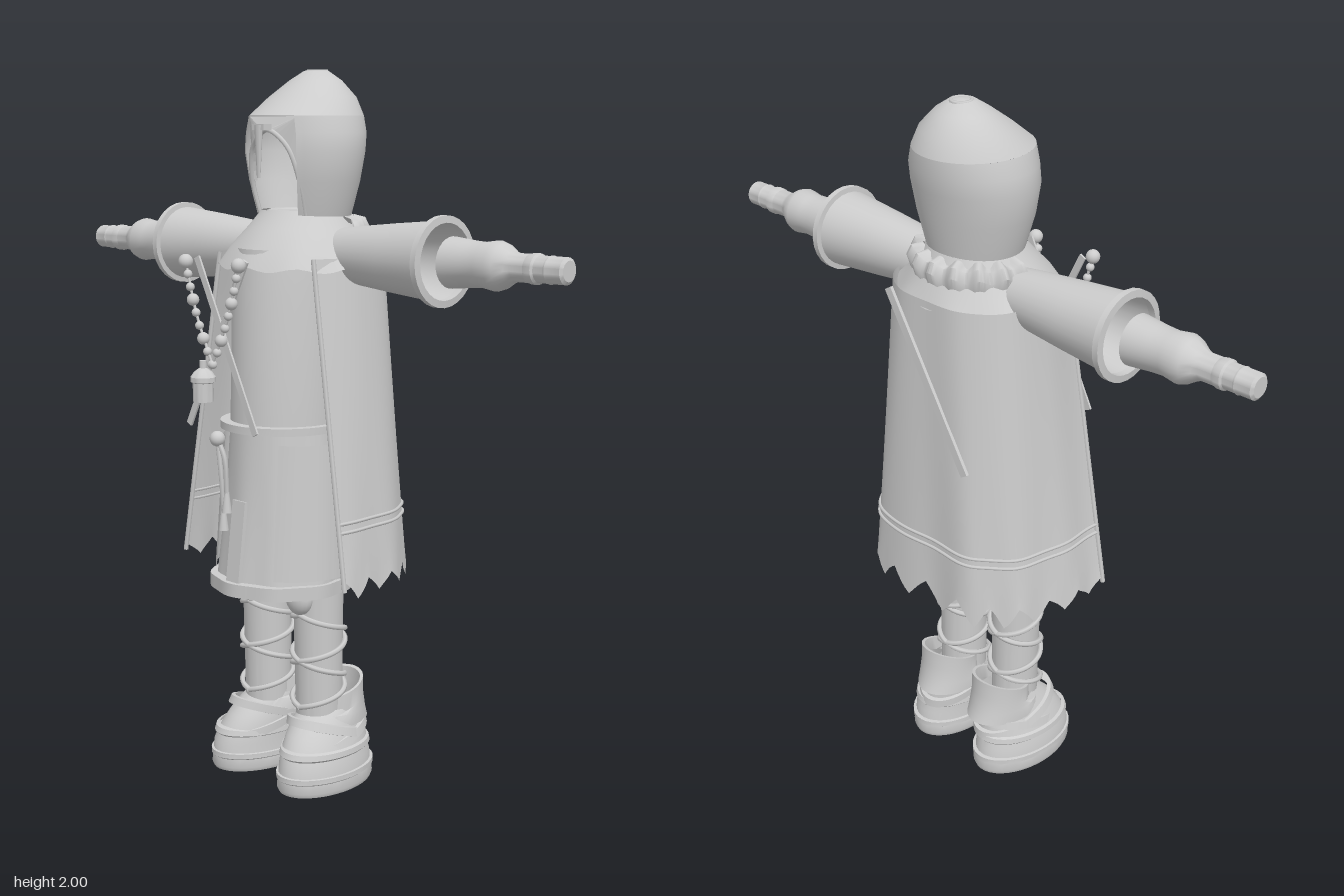
import * as THREE from 'three';
import { toCreasedNormals } from 'three/addons/utils/BufferGeometryUtils.js';

export function createModel() {
  const model = new THREE.Group();
  const grey = new THREE.MeshStandardMaterial({ color: 0xcccccc, side: THREE.DoubleSide });
  grey.name = 'plain grey';

  const add = (name, geometry, parent = model) => {
    const mesh = new THREE.Mesh(geometry, grey);
    mesh.name = name;
    parent.add(mesh);
    return mesh;
  };
  const group = (name, parent = model) => {
    const g = new THREE.Group();
    g.name = name;
    parent.add(g);
    return g;
  };
  // Stacked ellipses, listed top to bottom as [y, half width, front z, back z]
  const loft = (rings, { open = true, start = 0, sweep = Math.PI * 2, seg = 40, warp } = {}) => {
    const n = rings.length - 1;
    const geo = new THREE.CylinderGeometry(1, 1, 1, seg, n, open, start, sweep);
    const p = geo.attributes.position;
    for (let i = 0; i < p.count; i++) {
      const [y, w, f, b] = rings[Math.round((0.5 - p.getY(i)) * n)];
      const px = p.getX(i), pz = p.getZ(i);
      const v = new THREE.Vector3(px * w, y, (f + b) / 2 + pz * (f - b) / 2);
      if (warp) warp(v, Math.atan2(px, pz));
      p.setXYZ(i, v.x, v.y, v.z);
    }
    return toCreasedNormals(geo, 0.8);
  };
  const tube = (pts, r, seg = 40) => new THREE.TubeGeometry(
    new THREE.CatmullRomCurve3(pts.map(a => new THREE.Vector3(...a))), seg, r, 6);
  const lathe = (pts, seg = 28) => toCreasedNormals(
    new THREE.LatheGeometry(pts.map(a => new THREE.Vector2(...a)), seg), 0.6);
  // Flat bar between two points
  const bar = (name, a, b, w, t, parent = model) => {
    const A = new THREE.Vector3(...a), B = new THREE.Vector3(...b);
    const m = add(name, new THREE.BoxGeometry(w, A.distanceTo(B), t), parent);
    m.position.copy(A).add(B).multiplyScalar(0.5);
    m.quaternion.setFromUnitVectors(new THREE.Vector3(0, 1, 0), A.sub(B).normalize());
  };
  const ball = (name, r, x, y, z, parent) =>
    add(name, new THREE.SphereGeometry(r, 16, 10), parent).position.set(x, y, z);

  // Hood: closed crown above, face opening below
  const hood = group('hood');
  add('hoodCrown', loft([[2, 0.001, -0.139, -0.141], [1.996, 0.035, -0.105, -0.172], [1.97, 0.075, -0.065, -0.207],
    [1.925, 0.122, -0.003, -0.245], [1.875, 0.155, 0.06, -0.262]]), hood);
  add('hoodSides', loft([[1.875, 0.155, 0.06, -0.262], [1.83, 0.17, 0.062, -0.262], [1.78, 0.175, 0.062, -0.252],
    [1.7, 0.162, 0.05, -0.238], [1.6, 0.133, 0.025, -0.217]], { start: 0.6, sweep: Math.PI * 2 - 1.2 }), hood);
  const topRing = add('hoodTopRing', new THREE.TorusGeometry(0.026, 0.006, 6, 20), hood);
  topRing.rotation.x = Math.PI / 2;
  topRing.position.set(0, 1.994, -0.143);

  // Arched face frame, bent to follow the hood
  const frame = new THREE.Shape([[-0.1, 1.7], [-0.094, 1.873], [0.094, 1.873], [0.1, 1.7], [0.085, 1.7]]
    .map(a => new THREE.Vector2(...a)));
  for (let i = 1; i <= 16; i++) {
    const a = i / 16 * Math.PI;
    frame.lineTo(0.085 * Math.cos(a), 1.7 + 0.135 * Math.sin(a));
  }
  const frameGeo = new THREE.ExtrudeGeometry(frame, { depth: 0.012, bevelEnabled: false });
  const fp = frameGeo.attributes.position;
  for (let i = 0; i < fp.count; i++)
    fp.setZ(i, fp.getZ(i) + 0.034 - 2.5 * fp.getX(i) ** 2 - Math.max(0, 1.78 - fp.getY(i)) * 0.15);
  frameGeo.computeVertexNormals();
  add('faceFrame', frameGeo, hood);
  add('faceArch', tube([[-0.09, 1.61, -0.01], [-0.093, 1.7, 0.015], [-0.066, 1.795, 0.038], [0, 1.838, 0.05],
    [0.066, 1.795, 0.038], [0.093, 1.7, 0.015], [0.09, 1.61, -0.01]], 0.007), hood);
  const spike = add('browSpike', new THREE.CylinderGeometry(0.014, 0.006, 0.14, 8), hood);
  spike.scale.z = 0.65;
  spike.position.set(0, 1.78, 0.079);
  const brow = add('browPlate', new THREE.BoxGeometry(0.045, 0.016, 0.03), hood);
  brow.position.set(0, 1.845, 0.067);

  // Mantle, neck ring and ruffled back
  add('mantle', loft([[1.62, 0.125, 0.02, -0.215], [1.575, 0.155, 0.06, -0.235], [1.525, 0.198, 0.105, -0.26],
    [1.468, 0.238, 0.137, -0.282]], {
    seg: 60,
    warp: (v, a) => { if (v.y < 1.5) v.y += 0.006 * Math.cos(a * 9) + (Math.cos(a) < 0 ? 0.015 : 0); },
  }));
  const neck = add('neckRing', new THREE.TorusGeometry(0.1, 0.012, 8, 32));
  neck.rotation.x = Math.PI / 2;
  neck.position.set(0, 1.61, -0.1);
  add('ruffle', loft([[1.6, 0.135, 0.02, -0.22], [1.592, 0.165, 0.05, -0.25], [1.565, 0.18, 0.07, -0.262],
    [1.535, 0.172, 0.07, -0.255]], {
    start: Math.PI * 0.5, sweep: Math.PI, seg: 72,
    warp: (v, a) => {
      const k = Math.cos(a * 16), s = 1 + 0.045 * k;
      v.set(v.x * s, v.y + 0.008 * k, -0.1 + (v.z + 0.1) * s);
    },
  }));

  // Tunic, belt and skirt
  add('tunic', loft([[1.52, 0.14, 0.115, -0.2], [1.4, 0.15, 0.13, -0.2], [1.03, 0.152, 0.135, -0.18]]));
  add('belt', loft([[1.043, 0.152, 0.135, -0.18], [1.043, 0.174, 0.165, -0.195], [1.022, 0.174, 0.165, -0.195],
    [1.022, 0.15, 0.135, -0.175]]));
  const fold = k => (v, a) => {
    const s = 1 + 0.025 * k * Math.cos(a * 9) * Math.max(0, 1.03 - v.y) / 0.43;
    v.x *= s; v.z *= s;
  };
  add('skirt', loft([[1.03, 0.15, 0.135, -0.175], [0.9, 0.162, 0.14, -0.182], [0.75, 0.175, 0.15, -0.188],
    [0.59, 0.186, 0.168, -0.195]], { seg: 90, warp: fold(1) }));
  add('skirtHem', loft([[0.605, 0.176, 0.16, -0.185], [0.605, 0.198, 0.193, -0.208], [0.568, 0.198, 0.193, -0.208],
    [0.568, 0.176, 0.16, -0.185]], { seg: 90, warp: fold(0.6) }));
  bar('skirtFlap', [-0.003, 0.83, 0.148], [-0.003, 0.6, 0.175], 0.05, 0.012);
  for (const s of [1, -1])
    add('sidePanel', loft([[0.995, 0.19, 0.135, -0.17], [0.62, 0.205, 0.168, -0.195]],
      { seg: 14, start: s > 0 ? 0.6 : -1.7, sweep: 1.1 }));

  // Cape: open section around the back, flaring down to a ragged hem
  const section = pts => new THREE.CatmullRomCurve3(
    [...pts, ...pts.slice(0, -1).reverse().map(([x, z]) => [-x, z])].map(([x, z]) => new THREE.Vector3(x, 0, z)));
  const capeTop = section([[0.185, 0.055], [0.22, -0.08], [0.2, -0.2], [0.11, -0.27], [0, -0.28]]);
  const capeLow = section([[0.325, 0.072], [0.315, -0.08], [0.275, -0.22], [0.18, -0.3], [0, -0.305]]);
  const capeAt = (u, t, out = 0) => {
    const p = capeTop.getPoint(u).lerp(capeLow.getPoint(u), t);
    const s = 1 + out + 0.014 * t * t * Math.sin(u * Math.PI * 14);
    return p.set(p.x * s, 1.5 - 0.88 * t, p.z * s);
  };
  const U = 96, V = 14;
  const capeGeo = new THREE.PlaneGeometry(1, 1, U, V);
  for (let i = 0; i < capeGeo.attributes.position.count; i++) {
    const col = i % (U + 1), t = Math.floor(i / (U + 1)) / V;
    const p = capeAt(col / U, t);
    if (t === 1) p.y += 0.028 * (Math.abs(col % 8 - 4) / 2 - 1) + 0.008 * Math.sin(col * 0.7);
    capeGeo.attributes.position.setXYZ(i, p.x, p.y, p.z);
  }
  capeGeo.computeVertexNormals();
  const cape = group('cape');
  add('capeCloth', capeGeo, cape);
  for (const t of [0.795, 0.822])
    add('capeTrim', tube(Array.from({ length: 41 }, (_, i) => capeAt(i / 40, t, 0.006).toArray()), 0.005, 100), cape);
  for (const u of [0, 1])
    add('capeEdge', tube([0, 0.25, 0.5, 0.75, 1].map(t => capeAt(u, t).toArray()), 0.007), cape);
  bar('backStrap', [0.13, 1.5, -0.287], [-0.15, 1.05, -0.297], 0.024, 0.009);

  // Crossed chest straps, beads, pendant and tassel
  const chest = group('chestOrnaments');
  for (const s of [1, -1]) {
    bar('chestStrap', [s * 0.1, 1.5, 0.217 + s * 0.003], [-s * 0.13, 1.04, 0.217 + s * 0.003], 0.02, 0.006, chest);
    for (let i = 0; i < 9; i++) {
      const k = i / 8;
      ball('bead', i === 0 ? 0.02 : i % 3 ? 0.012 : 0.017,
        s * (0.105 * (1 - k) + 0.012 * Math.sin(k * 3)), 1.49 - 0.27 * k, 0.25, chest);
    }
    add('beadCord', tube([[s * 0.105, 1.49, 0.25], [s * 0.064, 1.355, 0.25], [0, 1.22, 0.25]], 0.004, 12), chest);
  }
  const pendant = add('pendant', lathe([[0, 0], [0.028, 0], [0.028, 0.05], [0.034, 0.053], [0.034, 0.066],
    [0.024, 0.08], [0.01, 0.09], [0.01, 0.11], [0, 0.11]]), chest);
  pendant.position.set(0, 1.125, 0.283);
  ball('tasselBead', 0.021, 0.052, 1.03, 0.28, chest);
  for (const [x, y] of [[0.062, 0.78], [0.075, 0.83]]) {
    add('tasselCord', tube([[0.052, 1.03, 0.28], [x, y + 0.15, 0.276], [x, y + 0.05, 0.268]], 0.007, 12), chest);
    const tassel = add('tassel', new THREE.CylinderGeometry(0.006, 0.014, 0.06, 10), chest);
    tassel.position.set(x, y + 0.03, 0.268);
  }

  for (const s of [1, -1]) {
    // Wide sleeve, forearm and hand, laid out along the arm
    const arm = group(s > 0 ? 'leftArm' : 'rightArm');
    arm.position.set(0, 1.505, -0.093);
    arm.rotation.z = -s * Math.PI / 2;
    add('sleeve', lathe([[0.07, 0.14], [0.079, 0.22], [0.092, 0.35], [0.106, 0.51]]), arm);
    add('cuff', lathe([[0.1, 0.497], [0.119, 0.499], [0.119, 0.516], [0.1, 0.518], [0.1, 0.497]]), arm);
    add('forearm', lathe([[0, 0.54], [0.067, 0.54], [0.06, 0.61], [0.058, 0.65], [0.064, 0.69],
      [0.058, 0.71], [0.042, 0.735], [0.036, 0.75], [0.036, 0.8]]), arm);
    add('hand', lathe([[0.036, 0.79], [0.039, 0.8], [0.039, 0.815], [0.034, 0.82], [0.034, 0.85], [0.036, 0.855],
      [0.034, 0.86], [0.034, 0.9], [0.026, 0.906], [0, 0.906]]), arm);

    // Leg with spiral wraps and knee pad
    const leg = group(s > 0 ? 'leftLeg' : 'rightLeg');
    leg.position.x = s * 0.105;
    add('shin', loft([[0.72, 0.075, 0.025, -0.125], [0.5, 0.07, 0.02, -0.12], [0.2, 0.066, 0.012, -0.122]]), leg);
    const knee = add('kneePad', new THREE.SphereGeometry(0.05, 18, 12), leg);
    knee.scale.set(0.9, 1, 0.65);
    knee.position.set(-s * 0.005, 0.55, 0.02);
    for (const d of [1, -1]) {
      const wrap = [];
      for (let i = 0; i <= 40; i++) {
        const a = d * i / 40 * Math.PI * 4;
        wrap.push([Math.sin(a) * 0.074, 0.23 + i / 40 * 0.27, -0.052 + Math.cos(a) * 0.075]);
      }
      add('legWrap', tube(wrap, 0.008, 90), leg);
    }

    // Boot, slightly turned outward
    const boot = group(s > 0 ? 'leftBoot' : 'rightBoot');
    boot.position.x = s * 0.135;
    boot.rotation.y = s * 0.06;
    const lean = v => { v.x -= s * 0.17 * Math.max(0, v.y - 0.08); };
    add('bootUpper', loft([[0.22, 0.075, -0.01, -0.19], [0.19, 0.08, 0.03, -0.195], [0.155, 0.087, 0.065, -0.195],
      [0.12, 0.093, 0.09, -0.198], [0.08, 0.099, 0.108, -0.21], [0.04, 0.102, 0.113, -0.215]], { warp: lean }), boot);
    add('bootSole', loft([[0.056, 0.098, 0.108, -0.212], [0.054, 0.107, 0.118, -0.224], [0.04, 0.107, 0.118, -0.224],
      [0.036, 0.102, 0.113, -0.219], [0.012, 0.105, 0.116, -0.222], [0, 0.1, 0.11, -0.217]], { open: false }), boot);
    add('bootRib', loft([[0.125, 0.092, 0.088, -0.198], [0.121, 0.1, 0.1, -0.206], [0.106, 0.102, 0.106, -0.21],
      [0.1, 0.096, 0.1, -0.205]]), boot);
    const cuff = add('bootCuff', loft([[0.3, 0.074, -0.045, -0.19], [0.3, 0.082, -0.035, -0.2],
      [0.25, 0.082, -0.03, -0.203], [0.205, 0.088, 0, -0.212], [0.17, 0.09, 0.03, -0.226]], {
      warp: v => { if (v.y > 0.22) v.y -= 0.35 * (v.z + 0.19); },
    }), boot);
    cuff.position.x = -s * 0.022;
    // Straps hugging the ankle, tilted in opposite directions
    for (const [y, tilt, front] of [[0.16, 0.3, 0.055], [0.14, -0.25, 0.085]])
      add('bootStrap', loft([[y + 0.014, 0.084, front - 0.012, -0.198], [y + 0.012, 0.093, front, -0.208],
        [y - 0.012, 0.096, front + 0.008, -0.21], [y - 0.014, 0.088, front - 0.006, -0.2]], {
        warp: v => { lean(v); v.y += tilt * (v.z + 0.07); },
      }), boot);
  }
  return model;
}
